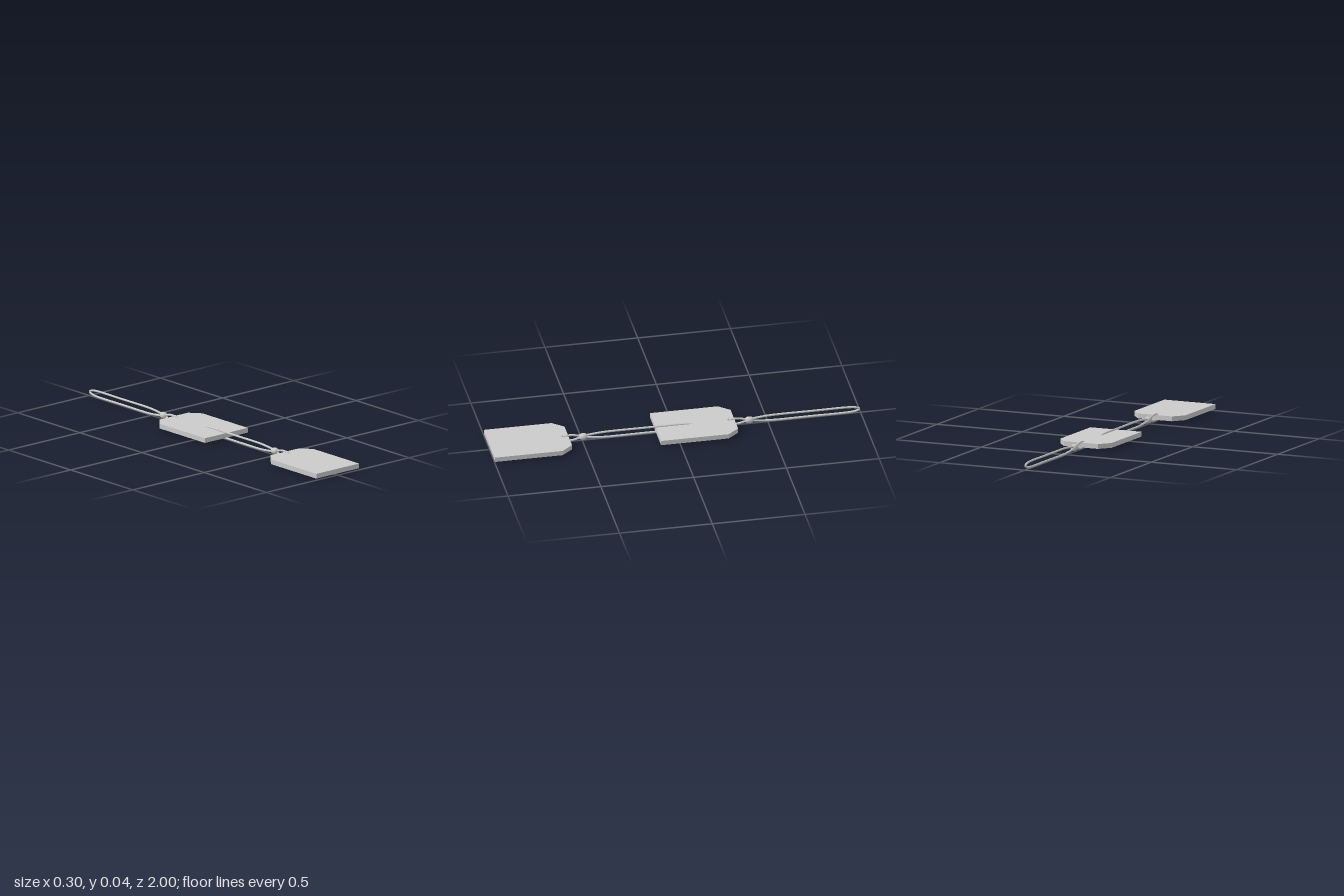
import * as THREE from 'three';

const MID = 0.0215; // height of the central plane
const material = new THREE.MeshStandardMaterial({ color: 0xcccccc });

function part(name, geometry) {
  const mesh = new THREE.Mesh(geometry, material);
  mesh.name = name;
  return mesh;
}

// Flat plate with two clipped corners and a string hole; shape y maps to -z
function tagPlate() {
  const shape = new THREE.Shape([
    [-0.15, -1], [0.15, -1], [0.15, -0.635], [0.1, -0.575], [-0.1, -0.575], [-0.15, -0.635],
  ].map(([x, y]) => new THREE.Vector2(x, y)));
  const hole = new THREE.Path();
  hole.absarc(0, -0.602, 0.01, 0, Math.PI * 2, true);
  shape.holes.push(hole);
  const geometry = new THREE.ExtrudeGeometry(shape, { depth: 0.026, bevelEnabled: false, curveSegments: 8 });
  geometry.rotateX(-Math.PI / 2);
  geometry.translate(0, MID - 0.013, 0);
  return part('tagPlate', geometry);
}

// Closed loop in the vertical plane: through the hole, pinched at the bead, long behind
function stringLoop() {
  const upper = [
    [0.602, 0.009], [0.594, 0.0145], [0.575, 0.0155], [0.55, 0.0145], [0.518, 0.007], [0.495, 0.005],
    [0.472, 0.007], [0.42, 0.0125], [0.37, 0.0155], [0.15, 0.0155], [-0.03, 0.0155],
    [-0.07, 0.0125], [-0.09, 0.007],
  ];
  const point = ([z, y]) => new THREE.Vector3(0, MID + y, z);
  const lower = upper.map(([z, y]) => [z, -y]).reverse();
  const points = [...upper, [-0.099, 0], ...lower].map(point);
  const curve = new THREE.CatmullRomCurve3(points, true, 'centripetal');
  return part('stringLoop', new THREE.TubeGeometry(curve, 260, 0.006, 8, true));
}

// Barrel-shaped bead that gathers the two strands
function bead() {
  const profile = [[0, -0.022], [0.011, -0.022], [0.017, -0.012], [0.0185, 0], [0.017, 0.012], [0.011, 0.022], [0, 0.022]]
    .map(([r, y]) => new THREE.Vector2(r, y));
  const geometry = new THREE.LatheGeometry(profile, 12);
  geometry.rotateX(Math.PI / 2);
  geometry.translate(0, MID, 0.495);
  return part('bead', geometry);
}

export function createModel() {
  const model = new THREE.Group();
  model.name = 'stringTags';
  // Two identical tags in a row
  [['frontTag', 0], ['backTag', -0.895]].forEach(([name, z]) => {
    const tag = new THREE.Group();
    tag.name = name;
    tag.position.z = z;
    tag.add(tagPlate(), stringLoop(), bead());
    model.add(tag);
  });
  return model;
}
